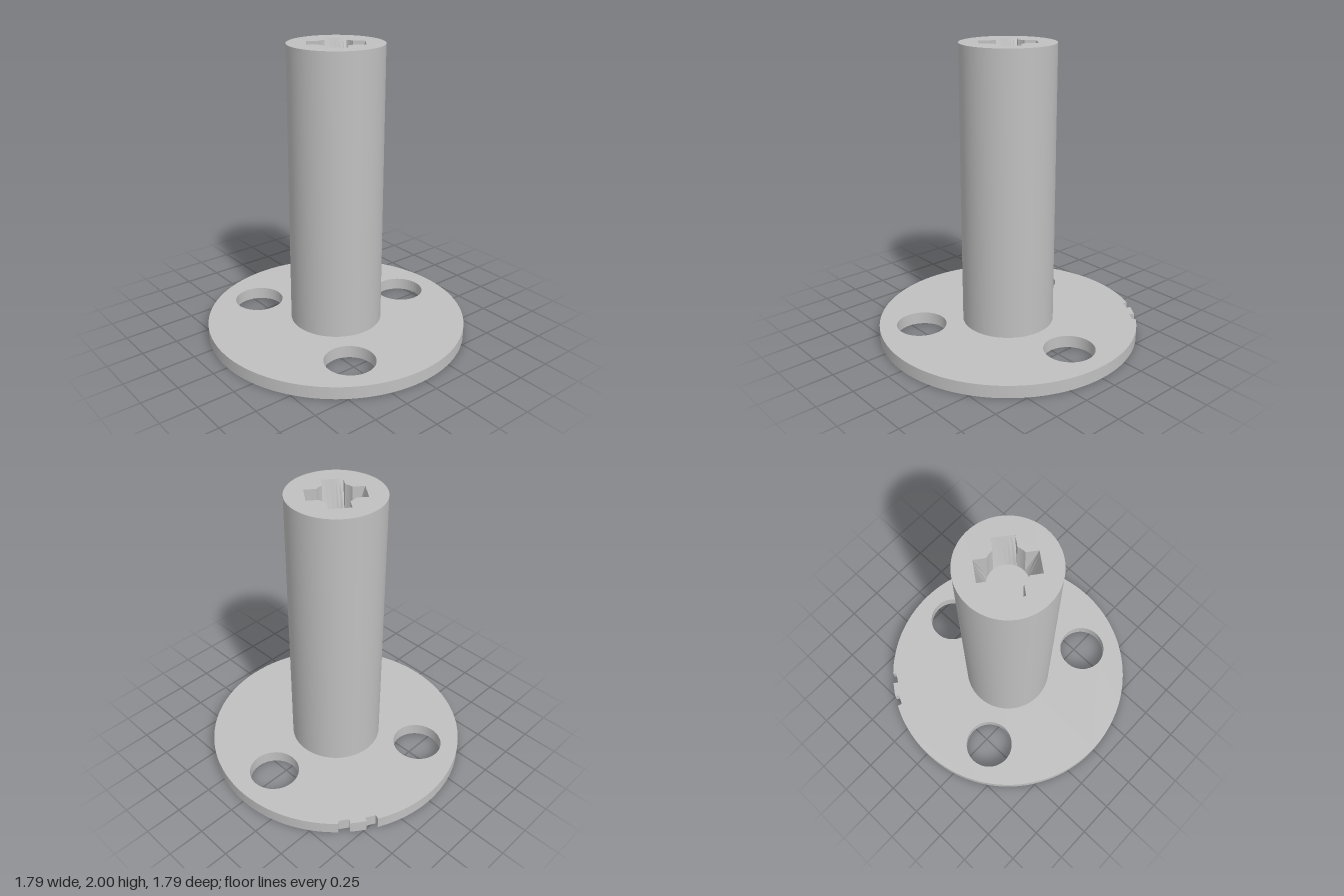
import * as THREE from 'three';
import { toCreasedNormals } from 'three/addons/utils/BufferGeometryUtils.js';

const BASE_R = 0.895, BASE_H = 0.085;
const POST_R = 0.315, TOP = 2;
const SOCKET_R = 0.13, SOCKET_DEPTH = 0.25, SLOT_REACH = 0.187, SLOT_HALF = 0.07;
const PIT_R = 0.125, PIT_DEPTH = 0.22;

function circlePath(x, y, r) {
  return new THREE.Path().absarc(x, y, r, 0, Math.PI * 2, true);
}

// Flange: round plate with two rim notches, three bolt holes and a centre hole
function flangeGeometry() {
  const rad = THREE.MathUtils.degToRad;
  const s = new THREE.Shape();
  s.absarc(0, 0, BASE_R, rad(62.7), rad(405.7), false);
  s.lineTo(0.605, 0.625);
  s.lineTo(0.545, 0.665);
  s.absarc(0, 0, BASE_R, rad(50.7), rad(57.8), false);
  s.lineTo(0.465, 0.73);
  s.lineTo(0.4, 0.765);
  s.closePath();
  for (let i = 0; i < 3; i++) {
    const a = i * Math.PI * 2 / 3;
    s.holes.push(circlePath(0.607 * Math.cos(a), 0.607 * Math.sin(a), 0.17));
  }
  s.holes.push(circlePath(0, 0, PIT_R));
  const g = new THREE.ExtrudeGeometry(s, { depth: BASE_H, bevelEnabled: false, curveSegments: 72 });
  g.rotateX(-Math.PI / 2);
  return toCreasedNormals(g, 0.5);
}

// Matching outlines of the cross socket: mouth at the top, round floor below
function socketOutlines() {
  const mouth = [], floor = [];
  const half = Math.asin(SLOT_HALF / SOCKET_R), n = 6;
  const onCircle = a => new THREE.Vector2(SOCKET_R * Math.cos(a), SOCKET_R * Math.sin(a));
  for (let k = 0; k < 4; k++) {
    const axis = THREE.MathUtils.degToRad(-37.5) + k * Math.PI / 2;
    // slot end, sloping inwards to the round floor
    for (let i = 0; i <= n; i++) {
      const a = half * (2 * i / n - 1);
      mouth.push(new THREE.Vector2(SLOT_REACH, SOCKET_R * Math.sin(a)).rotateAround(new THREE.Vector2(), axis));
      floor.push(onCircle(axis + a));
    }
    // upright wall between this slot and the next
    for (let i = 0; i <= n; i++) {
      const a = axis + half + (Math.PI / 2 - 2 * half) * i / n;
      mouth.push(onCircle(a));
      floor.push(onCircle(a));
    }
  }
  return { mouth, floor };
}

function socketWallGeometry({ mouth, floor }) {
  const pos = [], count = mouth.length, low = TOP - SOCKET_DEPTH;
  const put = (p, y) => pos.push(p.x, y, -p.y);
  for (let i = 0; i < count; i++) {
    const j = (i + 1) % count;
    put(mouth[i], TOP); put(mouth[j], TOP); put(floor[i], low);
    put(mouth[j], TOP); put(floor[j], low); put(floor[i], low);
  }
  const g = new THREE.BufferGeometry();
  g.setAttribute('position', new THREE.Float32BufferAttribute(pos, 3));
  g.computeVertexNormals();
  return g;
}

export function createModel() {
  const model = new THREE.Group();
  const grey = new THREE.MeshStandardMaterial({ color: 0xc0c0c0, side: THREE.DoubleSide });
  grey.name = 'plain grey';
  const add = (name, geometry, y = 0) => {
    const mesh = new THREE.Mesh(geometry, grey);
    mesh.name = name;
    mesh.position.y = y;
    model.add(mesh);
  };

  add('flange', flangeGeometry());

  // Post
  const h = TOP - BASE_H;
  add('post', new THREE.CylinderGeometry(POST_R, POST_R, h, 72, 1, true), BASE_H + h / 2);

  // Post end face around the cross socket
  const outlines = socketOutlines();
  const cap = new THREE.Shape().absarc(0, 0, POST_R, 0, Math.PI * 2, false);
  cap.holes.push(new THREE.Path(outlines.mouth));
  add('postTop', new THREE.ShapeGeometry(cap, 72).rotateX(-Math.PI / 2), TOP);

  // Cross socket
  add('socketWalls', socketWallGeometry(outlines));
  add('socketFloor', new THREE.CircleGeometry(SOCKET_R, 48).rotateX(-Math.PI / 2), TOP - SOCKET_DEPTH);

  // Conical centre pit in the underside
  add('centrePit', new THREE.ConeGeometry(PIT_R, PIT_DEPTH, 72, 1, true), PIT_DEPTH / 2);

  return model;
}
